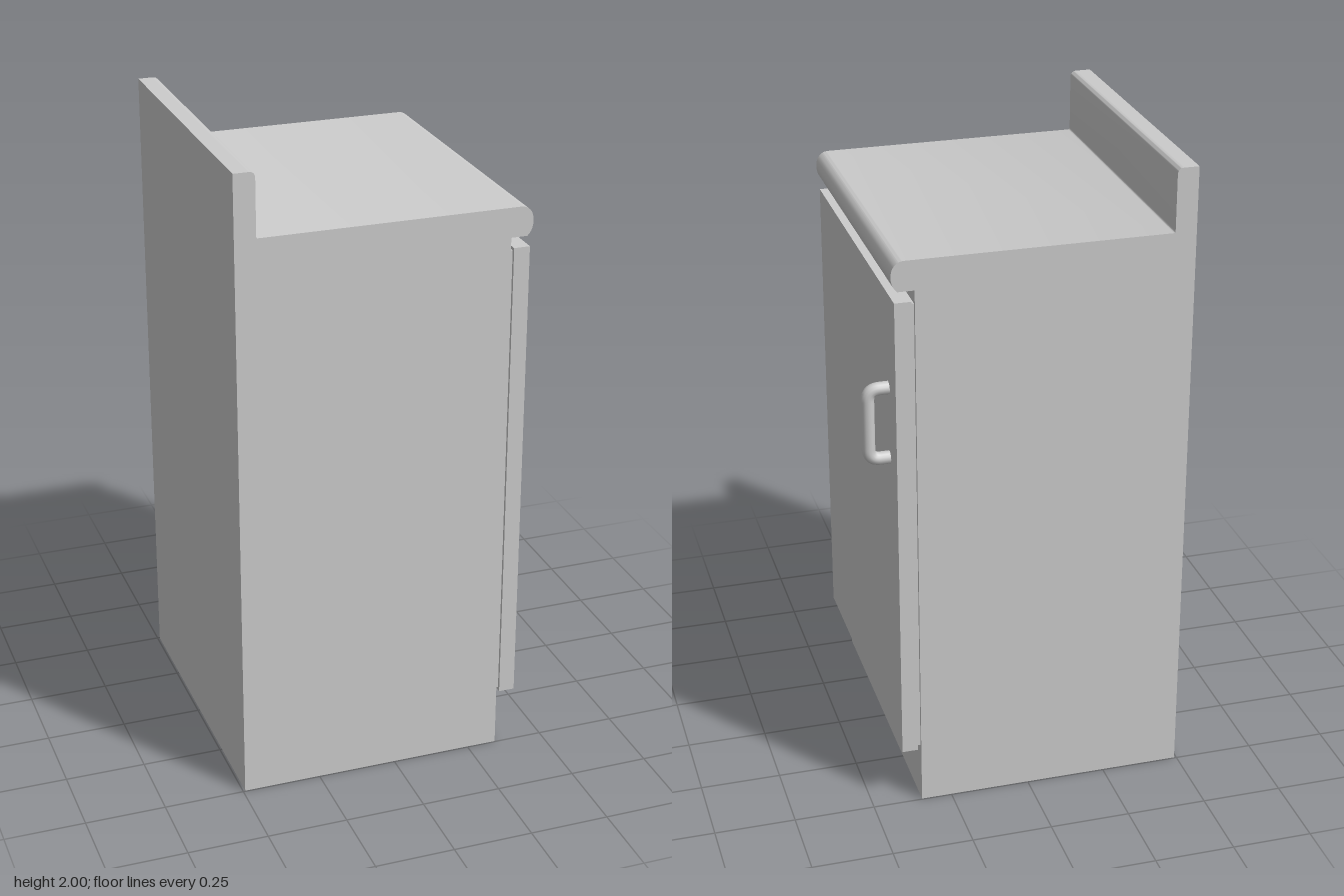
import * as THREE from 'three';
import { toCreasedNormals } from 'three/addons/utils/BufferGeometryUtils.js';

export function createModel() {
  const group = new THREE.Group();
  const material = new THREE.MeshStandardMaterial({ color: 0xcccccc });
  const add = (name, geometry, x = 0, y = 0, z = 0) => {
    const mesh = new THREE.Mesh(geometry, material);
    mesh.name = name;
    mesh.position.set(x, y, z);
    group.add(mesh);
    return mesh;
  };

  const back = -0.493, front = 0.345, half = 0.497, plinthTop = 0.23;

  // Cabinet, rounded counter nose and backsplash share one side profile
  const profile = new THREE.Shape();
  profile.moveTo(back, plinthTop);
  profile.lineTo(front, plinthTop);
  profile.lineTo(front, 1.713);
  profile.lineTo(0.395, 1.713);
  profile.bezierCurveTo(0.42, 1.733, 0.42, 1.785, 0.395, 1.799);
  profile.quadraticCurveTo(0.387, 1.805, 0.37, 1.805);
  profile.lineTo(-0.422, 1.805);
  profile.quadraticCurveTo(-0.428, 1.805, -0.428, 1.811);
  profile.lineTo(-0.428, 1.98);
  profile.quadraticCurveTo(-0.428, 2, -0.448, 2);
  profile.lineTo(back, 2);
  profile.closePath();
  const bodyGeometry = new THREE.ExtrudeGeometry(profile, {
    depth: half * 2, bevelEnabled: false, curveSegments: 10,
  });
  add('cabinetAndCountertop', toCreasedNormals(bodyGeometry, 0.6), 0, 0, -half);

  // Hollow base, open underneath
  const rectangle = (path, inset) => path.setFromPoints([
    new THREE.Vector2(back + inset, -half + inset),
    new THREE.Vector2(front - inset, -half + inset),
    new THREE.Vector2(front - inset, half - inset),
    new THREE.Vector2(back + inset, half - inset),
  ]);
  const plinth = rectangle(new THREE.Shape(), 0);
  plinth.holes.push(rectangle(new THREE.Path(), 0.057));
  const plinthGeometry = new THREE.ExtrudeGeometry(plinth, { depth: plinthTop, bevelEnabled: false });
  add('hollowBase', plinthGeometry.rotateX(-Math.PI / 2));

  // Door with a slightly inset backing strip
  add('doorBacking', new THREE.BoxGeometry(0.012, 1.476, half * 2 - 0.02), 0.35, 0.932, 0);
  add('door', new THREE.BoxGeometry(0.05, 1.496, half * 2), 0.38, 0.932, 0);

  // Bent bar handle
  const r = 0.02, reach = 0.468, low = 1.158, high = 1.382, bend = 0.035;
  const v = (x, y) => new THREE.Vector3(x, y, 0);
  const path = new THREE.CurvePath();
  path.add(new THREE.LineCurve3(v(0.4, low), v(reach - bend, low)));
  path.add(new THREE.QuadraticBezierCurve3(v(reach - bend, low), v(reach, low), v(reach, low + bend)));
  path.add(new THREE.LineCurve3(v(reach, low + bend), v(reach, high - bend)));
  path.add(new THREE.QuadraticBezierCurve3(v(reach, high - bend), v(reach, high), v(reach - bend, high)));
  path.add(new THREE.LineCurve3(v(reach - bend, high), v(0.4, high)));
  add('doorHandle', new THREE.TubeGeometry(path, 64, r, 14, false), 0, 0, -0.405);

  return group;
}
